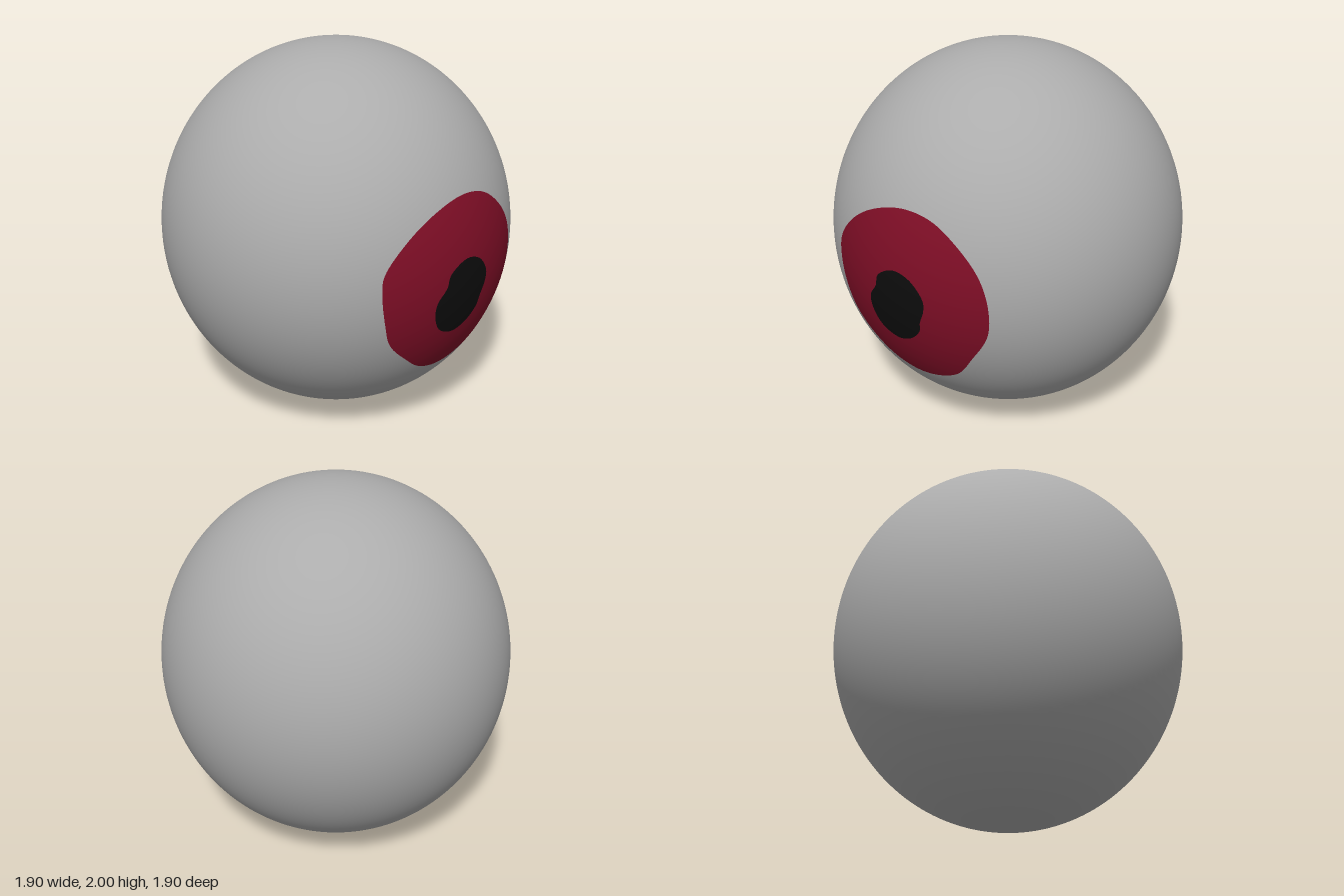
import * as THREE from 'three';

// Egg-shaped ball: radii and centre height
const RX = 0.95, RY = 1.0, RZ = 0.95, CY = 1.0;

// Hand-drawn outlines as seen from the front (x, y), clockwise from the top
const irisOutline = [
  [0.03, 1.385], [0.195, 1.355], [0.345, 1.245], [0.44, 1.115], [0.48, 0.96], [0.465, 0.8],
  [0.37, 0.64], [0.24, 0.485], [0.025, 0.42], [-0.14, 0.46], [-0.265, 0.555], [-0.385, 0.68],
  [-0.43, 0.8], [-0.46, 0.97], [-0.45, 1.085], [-0.33, 1.235], [-0.16, 1.34],
];
const pupilOutline = [
  [0, 1.077], [0.1, 1.05], [0.17, 0.96], [0.17, 0.9], [0.14, 0.82], [0.13, 0.77], [0.065, 0.7],
  [-0.025, 0.67], [-0.125, 0.71], [-0.175, 0.8], [-0.175, 0.88], [-0.125, 0.955], [-0.105, 1.02],
];

// Thin curved patch that follows the front of the ball inside an outline
function surfacePatch(outline, centre, lift, rings = 16, segments = 128) {
  const curve = new THREE.CatmullRomCurve3(
    outline.map(([x, y]) => new THREE.Vector3(x, y, 0)).reverse(), true);
  const rim = curve.getSpacedPoints(segments);
  const positions = [], normals = [], indices = [];
  const row = segments + 1;
  for (let r = 0; r <= rings; r++) {
    for (let s = 0; s <= segments; s++) {
      const t = r / rings;
      const x = centre[0] + (rim[s].x - centre[0]) * t;
      const y = centre[1] + (rim[s].y - centre[1]) * t - CY;
      const z = RZ * Math.sqrt(1 - (x / RX) ** 2 - (y / RY) ** 2);
      const n = new THREE.Vector3(x / RX ** 2, y / RY ** 2, z / RZ ** 2).normalize();
      positions.push(x + n.x * lift, y + n.y * lift, z + n.z * lift);
      normals.push(n.x, n.y, n.z);
      if (r < rings && s < segments) {
        const a = r * row + s, b = a + row;
        indices.push(a, b, b + 1);
        if (r > 0) indices.push(a, b + 1, a + 1);
      }
    }
  }
  const geometry = new THREE.BufferGeometry();
  geometry.setAttribute('position', new THREE.Float32BufferAttribute(positions, 3));
  geometry.setAttribute('normal', new THREE.Float32BufferAttribute(normals, 3));
  geometry.setIndex(indices);
  return geometry;
}

function flatColour(name, color) {
  const material = new THREE.MeshStandardMaterial({ color });
  material.name = name;
  return material;
}

export function createModel() {
  const group = new THREE.Group();
  group.name = 'eye';

  const add = (name, geometry, material) => {
    const mesh = new THREE.Mesh(geometry, material);
    mesh.name = name;
    mesh.position.y = CY;
    group.add(mesh);
  };

  // Smooth ball
  const ball = new THREE.SphereGeometry(1, 128, 96);
  ball.scale(RX, RY, RZ);
  add('eyeball', ball, flatColour('grey', 0xacacac));

  // Painted iris and pupil
  add('iris', surfacePatch(irisOutline, [0, 0.9], 0.0015), flatColour('dark red', 0x7f0e26));
  add('pupil', surfacePatch(pupilOutline, [0, 0.87], 0.003), flatColour('black', 0x0d0d0d));

  return group;
}
